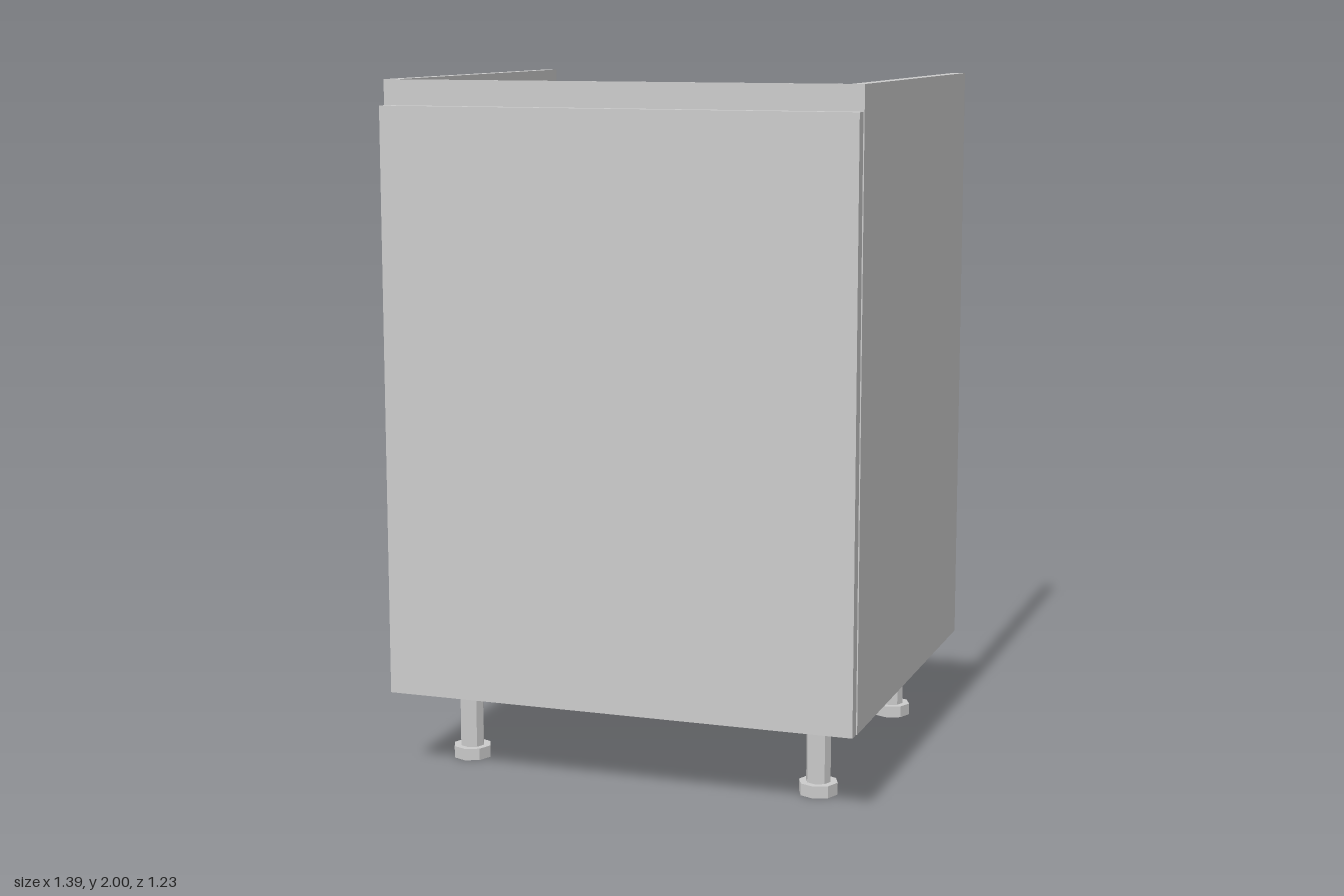
import * as THREE from 'three';

export function createModel() {
  const group = new THREE.Group();
  const material = new THREE.MeshStandardMaterial({ color: 0xcccccc });
  const legMaterial = new THREE.MeshStandardMaterial({ color: 0xcccccc, flatShading: true });

  // Box given by its lower and upper corners
  function panel(name, [x0, y0, z0], [x1, y1, z1]) {
    const mesh = new THREE.Mesh(new THREE.BoxGeometry(x1 - x0, y1 - y0, z1 - z0), material);
    mesh.name = name;
    mesh.position.set((x0 + x1) / 2, (y0 + y1) / 2, (z0 + z1) / 2);
    group.add(mesh);
  }

  const W = 0.695, T = 0.037, bottom = 0.238, back = -0.614, front = 0.572;

  // Open-backed, open-topped carcass
  panel('leftSide', [W - T, bottom, back], [W, 2, front]);
  panel('rightSide', [-W, bottom, back], [-W + T, 2, front]);
  panel('floorPanel', [-W + T, bottom, back], [W - T, bottom + T, front]);

  // Thin front sheet with the door in front of it
  panel('frontSheet', [-W, bottom, front], [W, 2, front + 0.004]);
  panel('door', [-0.692, bottom, 0.577], [0.692, 1.928, 0.614]);

  // Adjustable legs: a slim stem on a wider foot
  const stem = new THREE.CylinderGeometry(0.036, 0.036, bottom - 0.035, 8);
  const foot = new THREE.CylinderGeometry(0.057, 0.057, 0.035, 8);
  for (const x of [-0.535, 0.535]) {
    for (const z of [-0.44, 0.395]) {
      const leg = new THREE.Group();
      leg.name = (z > 0 ? 'front' : 'back') + (x > 0 ? 'Left' : 'Right') + 'Leg';
      const stemMesh = new THREE.Mesh(stem, legMaterial);
      stemMesh.name = 'stem';
      stemMesh.position.y = (bottom + 0.035) / 2;
      const footMesh = new THREE.Mesh(foot, legMaterial);
      footMesh.name = 'foot';
      footMesh.position.y = 0.0175;
      leg.add(stemMesh, footMesh);
      leg.position.set(x, 0, z);
      group.add(leg);
    }
  }
  return group;
}
